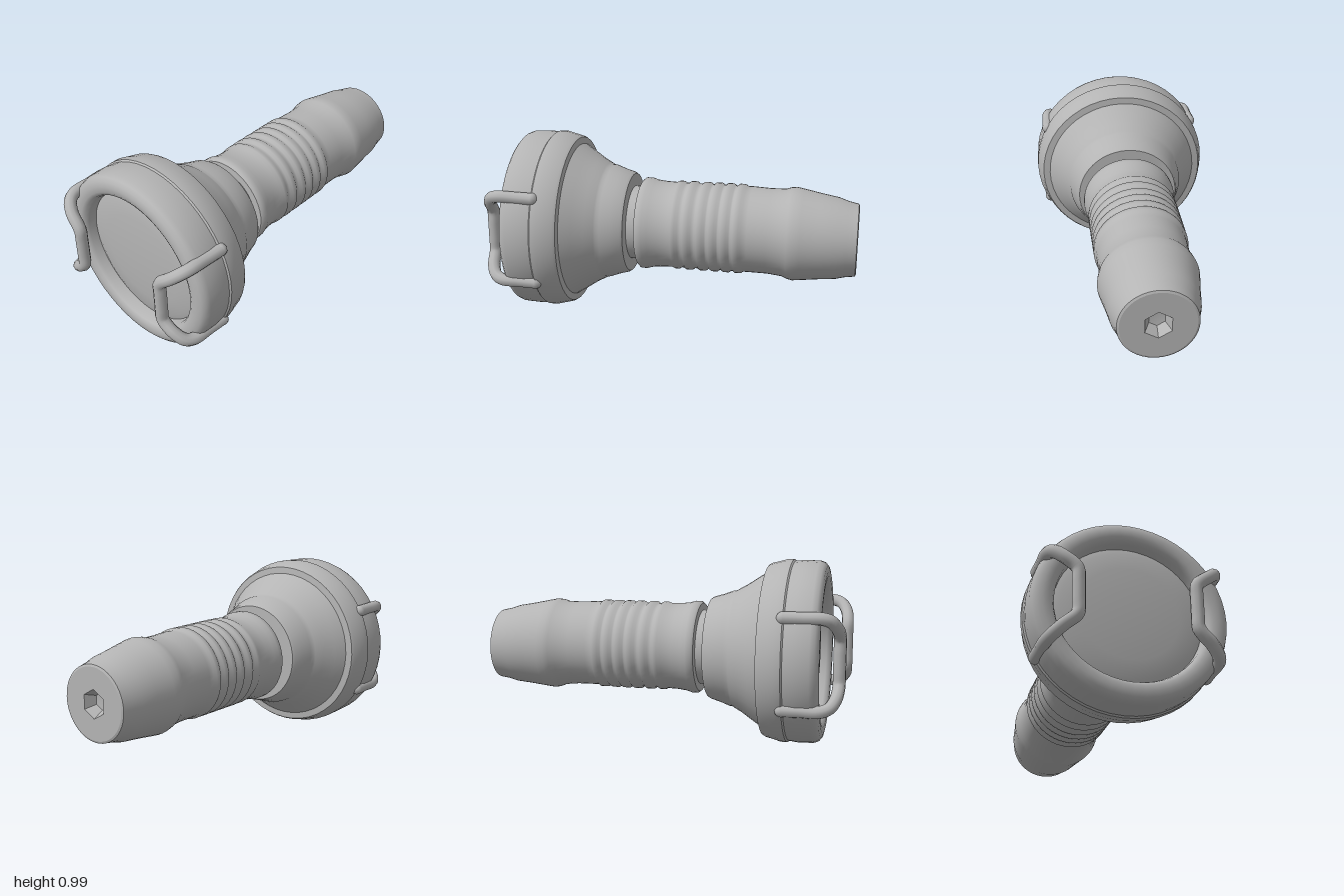
import * as THREE from 'three';
import { toCreasedNormals } from 'three/addons/utils/BufferGeometryUtils.js';

const AXIS = 0.5; // height of the long axis

// The tail droops a little; the whole torch is a touch wider than tall.
const droop = z => 0.025 * Math.max(0, (-0.45 - z) / 0.55);
function settle(geo) {
  const p = geo.attributes.position;
  for (let i = 0; i < p.count; i++) {
    p.setX(i, p.getX(i) * 1.02);
    p.setY(i, p.getY(i) + AXIS - droop(p.getZ(i)));
  }
  geo.computeVertexNormals();
  return toCreasedNormals(geo, 0.75);
}

// Turned part along z from [z, radius] pairs
function turned(profile, sides = 48) {
  const geo = new THREE.LatheGeometry(profile.map(([z, r]) => new THREE.Vector2(r, z)), sides);
  return settle(geo.rotateX(Math.PI / 2));
}

export function createModel() {
  const group = new THREE.Group();
  const grey = new THREE.MeshStandardMaterial({ color: 0xb4b4b4 });
  grey.name = 'grey';
  const add = (name, geo) => {
    const mesh = new THREE.Mesh(geo, grey);
    mesh.name = name;
    group.add(mesh);
  };

  // Grip: tapered tail, flared collar, five rings, front lip
  const grip = [
    [-1, 0.185], [-0.995, 0.197], [-0.94, 0.207], [-0.89, 0.222], [-0.8, 0.234],
    [-0.7, 0.25], [-0.66, 0.256], [-0.63, 0.251], [-0.6, 0.24], [-0.52, 0.235], [-0.42, 0.237],
  ];
  for (const z of [-0.36, -0.295, -0.23, -0.165, -0.09]) {
    grip.push([z - 0.028, 0.237], [z - 0.015, 0.247], [z + 0.015, 0.247], [z + 0.028, 0.237]);
  }
  grip.push([-0.045, 0.237], [-0.03, 0.246], [-0.01, 0.246], [0.01, 0.238], [0.07, 0.24],
    [0.12, 0.246], [0.15, 0.255], [0.18, 0.255], [0.192, 0.245], [0.195, 0.2]);
  add('grip', turned(grip));

  // Narrow neck between grip and head
  add('neck', turned([[0.18, 0.205], [0.26, 0.205]]));

  // Flared cone with a stepped collar
  add('headCone', turned([
    [0.245, 0.2], [0.247, 0.275], [0.26, 0.284], [0.31, 0.298], [0.365, 0.318], [0.385, 0.32],
    [0.395, 0.328], [0.44, 0.352], [0.5, 0.392], [0.562, 0.432],
  ]));

  // Bezel with rounded rim, rolling inwards to the lens recess
  add('bezel', turned([
    [0.555, 0.42], [0.56, 0.465], [0.575, 0.474], [0.62, 0.485], [0.655, 0.495], [0.69, 0.495],
    [0.698, 0.487], [0.75, 0.493], [0.83, 0.49], [0.855, 0.481], [0.87, 0.462], [0.876, 0.435],
    [0.874, 0.405], [0.864, 0.386], [0.845, 0.376], [0.79, 0.37],
  ]));

  // Gently domed lens
  add('lens', turned([[0.8, 0.375], [0.812, 0.34], [0.822, 0.25], [0.828, 0.13], [0.83, 0]]));

  // Tail face with a hexagonal socket
  const face = new THREE.Shape().absarc(0, 0, 0.186, 0, Math.PI * 2);
  const hex = Array.from({ length: 6 }, (_, i) =>
    new THREE.Vector2(0.075 * Math.sin(i * Math.PI / 3), 0.075 * Math.cos(i * Math.PI / 3)));
  face.holes.push(new THREE.Path(hex));
  add('tailFace', settle(new THREE.ShapeGeometry(face, 24).rotateY(Math.PI).translate(0, 0, -1)));
  add('tailSocket', turned([[-0.94, 0], [-0.945, 0.045], [-1, 0.075]], 6));

  // Bent wire guards on both sides of the lens
  for (const [name, s] of [['leftGuard', 1], ['rightGuard', -1]]) {
    const half = [
      [0.435, -0.235, 0.69], [0.43, -0.235, 0.78], [0.425, -0.235, 0.88], [0.405, -0.22, 0.925],
      [0.36, -0.18, 0.955], [0.308, -0.135, 0.965], [0.294, -0.11, 0.966], [0.293, -0.05, 0.966],
    ];
    const other = half.map(([x, y, z]) => [x, -y, z]).reverse();
    const points = [...half, ...other].map(([x, y, z]) => new THREE.Vector3(s * x, AXIS + y, z));
    const path = new THREE.CatmullRomCurve3(points);
    add(name, new THREE.TubeGeometry(path, 72, 0.033, 10));
    // Rounded feet where the wire meets the bezel
    for (const foot of [points[0], points[points.length - 1]]) {
      add(name + 'Foot', new THREE.SphereGeometry(0.033, 10, 8).translate(foot.x, foot.y, foot.z));
    }
  }
  return group;
}
